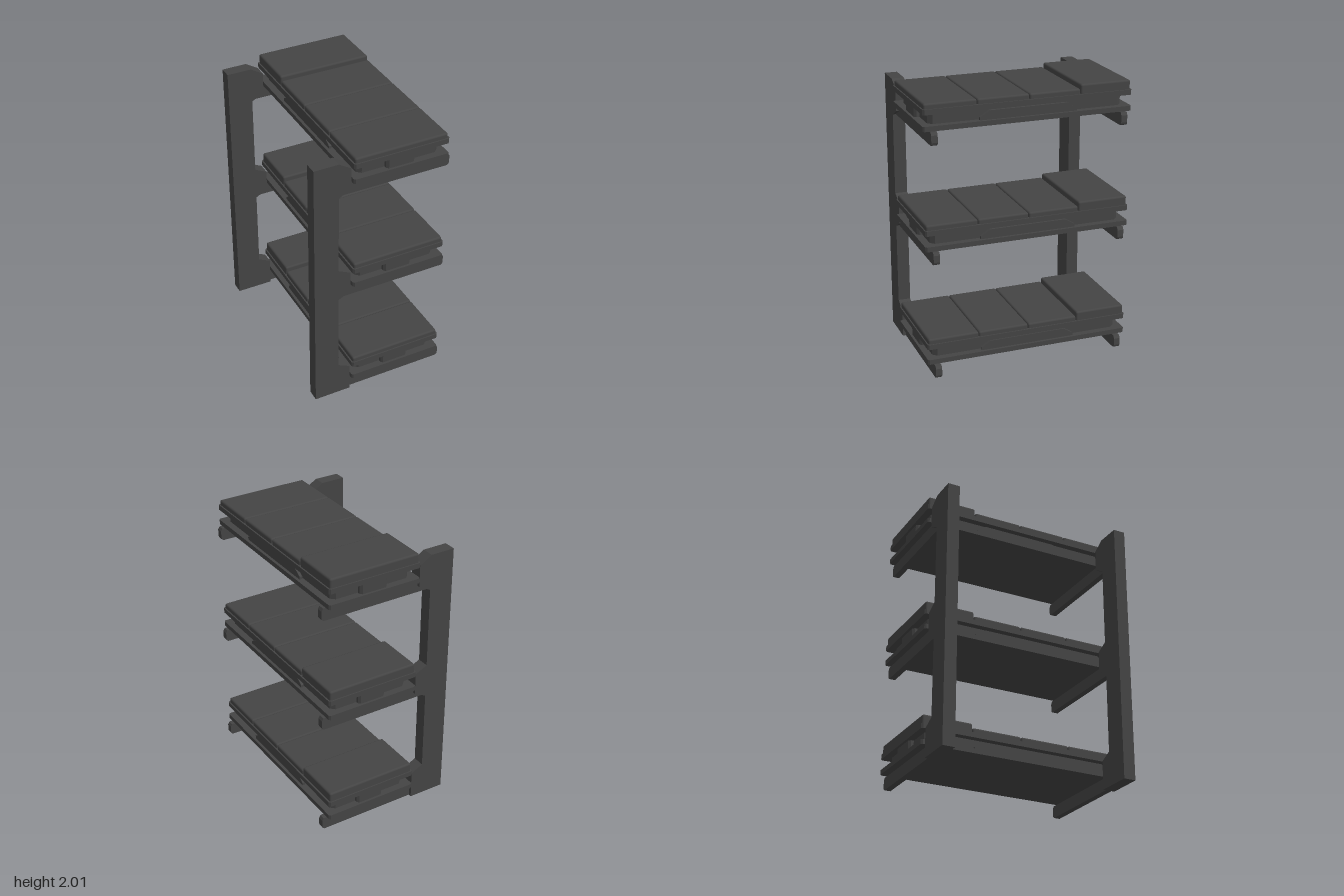
import * as THREE from 'three';
import { RoundedBoxGeometry } from 'three/addons/geometries/RoundedBoxGeometry.js';

const material = new THREE.MeshStandardMaterial({ color: 0x444444 });
const STEP = 0.845; // height between bunks
const LEVELS = [0, 1, 2].map((i) => i * STEP);
const MID_X = 0.1225; // centre of the beds across x

function add(parent, name, geometry, x = 0, y = 0, z = 0) {
  const mesh = new THREE.Mesh(geometry, material);
  mesh.name = name;
  mesh.position.set(x, y, z);
  parent.add(mesh);
  return mesh;
}

// Extrudes an outline, centred on its depth
function slab(points, depth) {
  const shape = new THREE.Shape(points.map(([x, y]) => new THREE.Vector2(x, y)));
  return new THREE.ExtrudeGeometry(shape, { depth, bevelEnabled: false }).translate(0, 0, -depth / 2);
}

// Flat plate with clipped corners, lying in xz and starting at y = 0
function plate(w, d, h, c) {
  const x = w / 2, z = d / 2;
  const outline = [
    [x - c, -z], [x, -z + c], [x, z - c], [x - c, z],
    [-x + c, z], [-x, z - c], [-x, -z + c], [-x + c, -z],
  ];
  return slab(outline, h).rotateX(-Math.PI / 2).translate(0, h / 2, 0);
}

// Upright with a chamfered bracket at each bunk
function uprightGeometry() {
  const points = [[-0.51, 0], [-0.24, 0], [-0.24, 0.21], [-0.33, 0.255]];
  for (const y of LEVELS.slice(1)) {
    points.push([-0.33, y + 0.008], [-0.24, y + 0.055], [-0.24, y + 0.215]);
    points.push([-0.33, y + (y > 1 ? 0.27 : 0.26)]);
  }
  points.push([-0.51, 1.96]);
  return slab(points, 0.09);
}

// Support arm with softened tip
function armGeometry() {
  return slab([
    [-0.34, 0.008], [0.49, 0.008], [0.502, 0.016], [0.507, 0.03],
    [0.507, 0.08], [0.495, 0.1], [-0.34, 0.1],
  ], 0.045);
}

function createBunk() {
  const bunk = new THREE.Group();
  bunk.name = 'bunk';

  // Frame: lower tray, recessed core, upper rim
  add(bunk, 'lowerTray', plate(0.705, 1.505, 0.035, 0.012), MID_X, 0.1);
  add(bunk, 'frameCore', plate(0.605, 1.4, 0.084, 0.03), MID_X, 0.132);
  add(bunk, 'upperRim', plate(0.705, 1.505, 0.037, 0.012), MID_X, 0.213);

  for (const side of [-1, 1]) {
    // Raised trapezoid panel on each long side
    const panel = slab([[-0.35, 0.13], [0.35, 0.13], [0.35, 0.155], [0.28, 0.198], [-0.28, 0.198], [-0.35, 0.155]], 0.02);
    add(bunk, 'sidePanel', panel, MID_X + side * 0.322).rotation.y = Math.PI / 2;
    // Raised block on each end
    add(bunk, 'endBlock', plate(0.21, 0.06, 0.084, 0.015), MID_X, 0.132, side * 0.705);
  }

  // Three mattress sections and a taller pillow section at the back
  for (let i = 0; i < 4; i++) {
    const height = i === 0 ? 0.085 : 0.055;
    const geometry = new RoundedBoxGeometry(0.685, height, 0.37, 3, 0.014);
    add(bunk, i === 0 ? 'pillow' : 'mattressSection', geometry, MID_X, 0.232 + height / 2, -0.559 + i * 0.3727);
  }
  return bunk;
}

export function createModel() {
  const model = new THREE.Group();
  model.name = 'bunkBeds';

  for (const z of [-0.685, 0.685]) {
    add(model, 'upright', uprightGeometry(), 0, 0, z);
    for (const y of LEVELS) add(model, 'supportArm', armGeometry(), 0, y - (y ? 0 : 0.007), z);
  }

  for (const y of LEVELS) {
    const bunk = createBunk();
    bunk.position.y = y;
    model.add(bunk);
  }
  return model;
}
